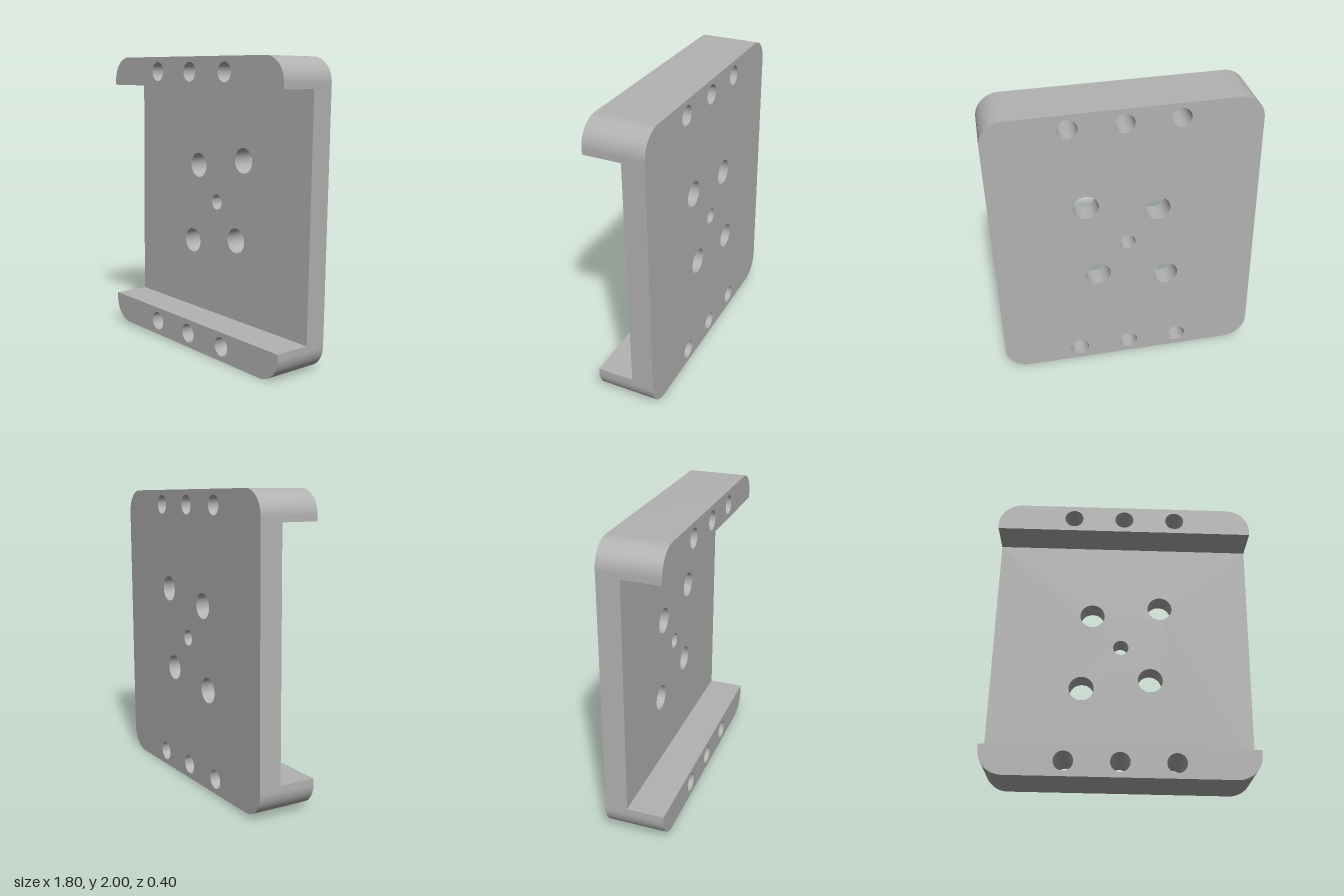
import * as THREE from 'three';
import { toCreasedNormals } from 'three/addons/utils/BufferGeometryUtils.js';

const HALF_W = 0.886, HALF_H = 0.988, LEDGE = 0.792, RADIUS = 0.16;
const BACK = -0.2, WEB_DEPTH = 0.15, RAIL_DEPTH = 0.4;

function drill(shape, x, y, r) {
  const hole = new THREE.Path();
  hole.absarc(x, y, r, 0, Math.PI * 2, true);
  shape.holes.push(hole);
}

function extrude(shape, depth) {
  const geo = new THREE.ExtrudeGeometry(shape, { depth, bevelEnabled: false, curveSegments: 24 });
  geo.translate(0, 0, BACK);
  return toCreasedNormals(geo, 0.5);
}

export function createModel() {
  const grey = new THREE.MeshStandardMaterial({ color: 0xb2b2b2 });
  grey.name = 'plain grey';

  // thin back plate with four mounting holes around a small centre hole
  const web = new THREE.Shape();
  web.moveTo(-HALF_W, -LEDGE);
  web.lineTo(HALF_W, -LEDGE);
  web.lineTo(HALF_W, LEDGE);
  web.lineTo(-HALF_W, LEDGE);
  web.closePath();
  const mounts = [[-0.208, 0.242], [0.265, 0.312], [0.2, -0.238], [-0.268, -0.308]];
  for (const [x, y] of mounts) drill(web, x, y, 0.085);
  drill(web, -0.005, 0.002, 0.053);
  const plate = new THREE.Mesh(extrude(web, WEB_DEPTH), grey);
  plate.name = 'backPlate';

  // full-depth rail with two rounded outer corners and three holes
  const rail = new THREE.Shape();
  rail.moveTo(-HALF_W, LEDGE);
  rail.lineTo(HALF_W, LEDGE);
  rail.lineTo(HALF_W, HALF_H - RADIUS);
  rail.absarc(HALF_W - RADIUS, HALF_H - RADIUS, RADIUS, 0, Math.PI / 2, false);
  rail.lineTo(-HALF_W + RADIUS, HALF_H);
  rail.absarc(-HALF_W + RADIUS, HALF_H - RADIUS, RADIUS, Math.PI / 2, Math.PI, false);
  rail.closePath();
  for (const x of [-0.355, 0, 0.355]) drill(rail, x, 0.889, 0.064);
  const railGeo = extrude(rail, RAIL_DEPTH);

  const topRail = new THREE.Mesh(railGeo, grey);
  topRail.name = 'topRail';
  const bottomRail = new THREE.Mesh(railGeo, grey);
  bottomRail.name = 'bottomRail';
  bottomRail.rotation.z = Math.PI;

  // the whole bracket is tilted very slightly clockwise
  const bracket = new THREE.Group();
  bracket.name = 'bracket';
  bracket.add(plate, topRail, bottomRail);
  bracket.rotation.z = -0.0155;
  bracket.position.y = 1;

  const model = new THREE.Group();
  model.name = 'mountingBracket';
  model.add(bracket);
  return model;
}
